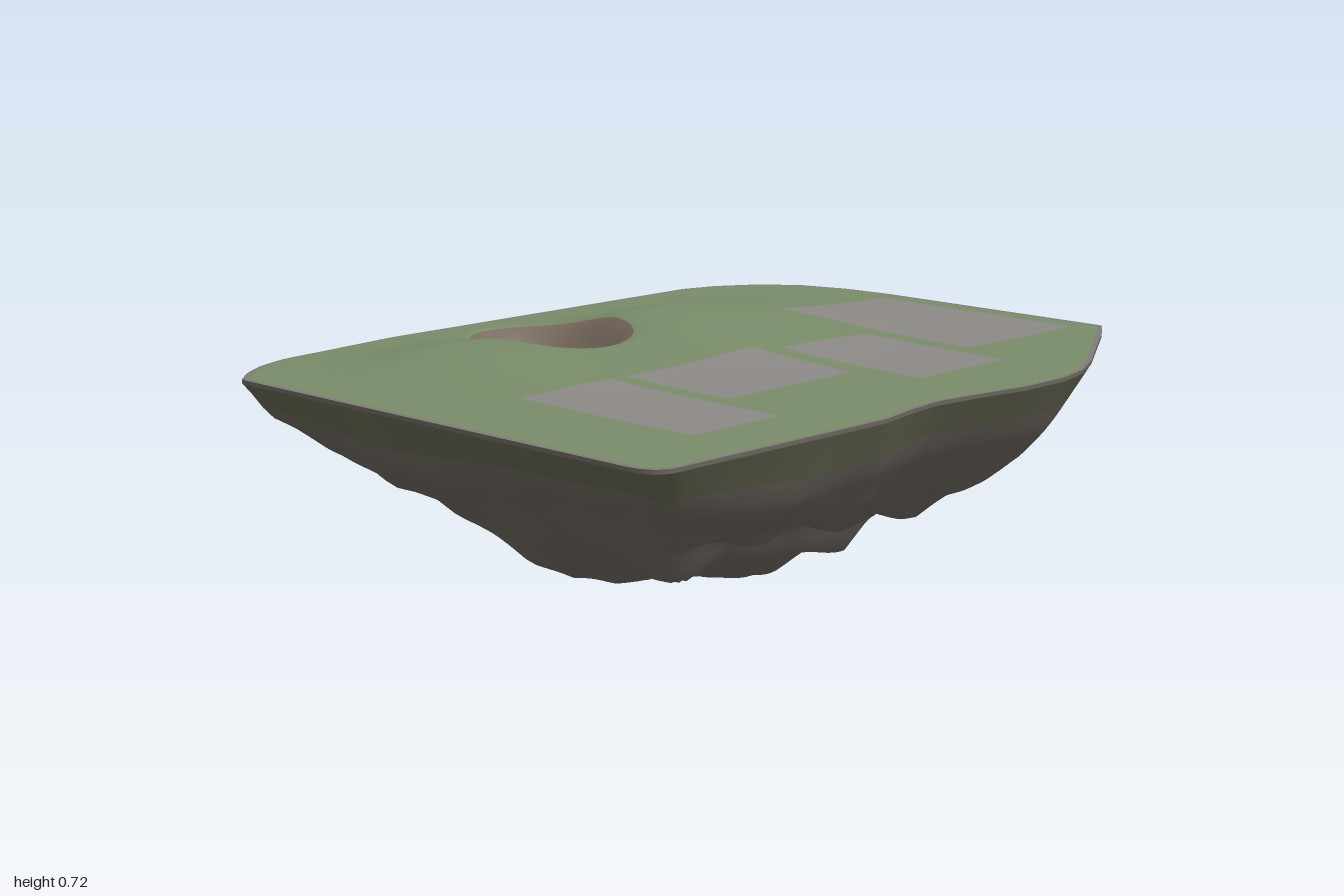
import * as THREE from 'three';

const RIM_Y = 0.655, LIP_Y = 0.645, N = 200;
const smooth = THREE.MathUtils.smoothstep;
const lerp = THREE.MathUtils.lerp;

// Plan outline as x, z pairs, running left edge -> back -> right edge -> front
const OUTLINE = [
  [-0.78, -0.66], [-0.75, -0.76], [-0.68, -0.87], [-0.58, -0.945], [-0.45, -0.985], [-0.3, -1],
  [0.43, -1], [0.5, -0.9], [0.6, -0.74], [0.7, -0.58], [0.755, -0.47], [0.78, -0.36],
  [0.78, -0.22], [0.755, -0.06], [0.74, 0.06], [0.755, 0.17], [0.78, 0.28],
  [0.78, 0.95], [0.765, 0.98], [0.72, 1], [-0.6, 1], [-0.66, 0.94], [-0.71, 0.86],
  [-0.74, 0.77], [-0.755, 0.62], [-0.78, 0.4],
];

// Underside height along x and along z, and depth limit by distance from the edge
const PROFILE_X = [[-0.78, 0.655], [-0.7, 0.52], [-0.55, 0.38], [-0.45, 0.26], [-0.36, 0.23], [-0.3, 0.08],
  [-0.2, 0], [-0.05, 0.04], [0.03, 0.1], [0.1, 0.15], [0.2, 0.15], [0.28, 0.28], [0.42, 0.29],
  [0.5, 0.35], [0.6, 0.37], [0.7, 0.46], [0.78, 0.655]];
const PROFILE_Z = [[-1, 0.655], [-0.9, 0.52], [-0.78, 0.42], [-0.6, 0.42], [-0.55, 0.37], [-0.5, 0.27],
  [-0.4, 0.24], [-0.35, 0.13], [-0.25, 0], [-0.08, 0.04], [0.05, 0.1], [0.13, 0.11], [0.2, 0.14],
  [0.3, 0.1], [0.45, 0.18], [0.6, 0.3], [0.7, 0.39], [0.8, 0.42], [0.9, 0.5], [1, 0.655]];
const EDGE_DEPTH = [[0, 0], [0.08, 0.13], [0.25, 0.3], [0.5, 0.66]];

function sample(table, v) {
  for (let i = 1; i < table.length; i++) {
    const [a, ya] = table[i - 1], [b, yb] = table[i];
    if (v <= b) return lerp(ya, yb, Math.max(0, (v - a) / (b - a)));
  }
  return table[table.length - 1][1];
}

const PIT = { x: -0.45, z: 0.15, rx: 0.24, rz: 0.175 };
const TIP = { x: -0.2, z: -0.25 };

const bell = (v, c, low, high) => Math.exp(-0.5 * ((v - c) / (v < c ? low : high)) ** 2);

// Two gentle mounds with a sunken pit between them
function groundHeight(x, z) {
  const hill = 0.06 * bell(x, -0.36, 0.13, 0.3) * bell(z, -0.14, 0.28, 0.22)
    + 0.043 * bell(x, -0.4, 0.13, 0.26) * bell(z, 0.5, 0.17, 0.16);
  const r = Math.hypot((x - PIT.x) / PIT.rx, (z - PIT.z) / PIT.rz);
  return RIM_Y + hill - 0.1 * (1 - smooth(r, 0.35, 1.1));
}

// Craggy underside, deepest at TIP
function rockHeight(x, z, dist) {
  const fx = 1 - sample(PROFILE_X, x) / RIM_Y;
  const fz = 1 - sample(PROFILE_Z, z) / RIM_Y;
  const depth = LIP_Y * (0.5 * fx * fz + 0.5 * Math.min(fx, fz));
  const d = Math.min(depth, sample(EDGE_DEPTH, dist));
  const angle = Math.atan2(z - TIP.z, x - TIP.x);
  const crag = 0.5 * Math.sin(11 * x + 5 * z + 2 * Math.sin(7 * z)) * Math.sin(13 * z - 4 * x)
    + 0.4 * Math.sin(13 * angle + 6 * x) + 0.3 * Math.sin(27 * x + 3) * Math.sin(24 * z);
  return Math.max(0, LIP_Y - d - 0.05 * crag * smooth(dist, 0.03, 0.3) * (1 - d / LIP_Y));
}

// Closed rings of points joined into one smooth skin
function skin(name, color, rows) {
  const positions = [], index = [];
  rows.forEach((row) => row.forEach((p) => positions.push(p.x, p.y, p.z)));
  for (let j = 0; j < rows.length - 1; j++) {
    for (let i = 0; i < N; i++) {
      const k = (i + 1) % N;
      const a = j * N + i, b = j * N + k, c = a + N, d = b + N;
      index.push(a, b, d, a, d, c);
    }
  }
  const geometry = new THREE.BufferGeometry();
  geometry.setAttribute('position', new THREE.Float32BufferAttribute(positions, 3));
  geometry.setIndex(index);
  geometry.computeVertexNormals();
  return part(name, color, geometry);
}

function part(name, color, geometry) {
  const mesh = new THREE.Mesh(geometry, new THREE.MeshStandardMaterial({ color }));
  mesh.name = name;
  return mesh;
}

const rowsFrom = (count, makeRow) => Array.from({ length: count + 1 }, (_, j) => makeRow(j / count));

export function createModel() {
  const island = new THREE.Group();
  island.name = 'floatingIsland';

  const path = new THREE.Path(OUTLINE.map(([x, z]) => new THREE.Vector2(x, z)));
  path.closePath();
  const rim = path.getSpacedPoints(N).slice(0, N);
  const ring = (y, inset = 0) => rim.map((p) => new THREE.Vector3(p.x * (1 - inset), y, p.y * (1 - inset)));

  // Pit edge, one point per rim point
  const pitEdge = rim.map((p) => {
    const a = Math.atan2((p.y - PIT.z) / PIT.rz, (p.x - PIT.x) / PIT.rx);
    return { x: PIT.x + PIT.rx * Math.cos(a), z: PIT.z + PIT.rz * Math.sin(a) };
  });
  const ground = (x, z) => new THREE.Vector3(x, groundHeight(x, z), z);

  island.add(skin('pit', 0x7a6c60, rowsFrom(12, (t) =>
    pitEdge.map((p) => ground(lerp(PIT.x, p.x, t), lerp(PIT.z, p.z, t))))));

  const grassEdge = ring(RIM_Y, 0.015);
  island.add(skin('grass', 0x788b68, rowsFrom(40, (t) =>
    pitEdge.map((p, i) => ground(lerp(p.x, grassEdge[i].x, t), lerp(p.z, grassEdge[i].z, t))))));

  // Stony border and its short outer lip
  const borderInner = grassEdge.map((p) => ground(p.x, p.z));
  island.add(skin('border', 0x807c76, [borderInner, ring(RIM_Y)]));
  island.add(skin('borderLip', 0x66645a, [ring(RIM_Y), ring(LIP_Y)]));

  // Underside: a mossy band below the lip, then bare rock down to the tip
  const underRow = (t) => rim.map((p) => {
    const x = lerp(p.x, TIP.x, t), z = lerp(p.y, TIP.z, t);
    const dist = t * Math.hypot(p.x - TIP.x, p.y - TIP.z);
    return new THREE.Vector3(x, rockHeight(x, z, dist), z);
  });
  island.add(skin('mossBand', 0x61634f, rowsFrom(3, (t) => underRow(t * 0.05))));
  island.add(skin('rock', 0x69645c, rowsFrom(40, (t) => underRow(lerp(0.05, 1, t)))));

  // Paved plots draped over the ground: x0, z0, x1, z1
  const plots = [
    [-0.26, -0.92, 0.39, -0.49], [0.11, -0.43, 0.55, -0.11],
    [0.06, -0.05, 0.39, 0.38], [0.06, 0.43, 0.6, 0.71],
  ];
  plots.forEach(([x0, z0, x1, z1], n) => {
    const geometry = new THREE.PlaneGeometry(x1 - x0, z1 - z0, 20, 20);
    geometry.rotateX(-Math.PI / 2).translate((x0 + x1) / 2, 0, (z0 + z1) / 2);
    const pos = geometry.attributes.position;
    for (let i = 0; i < pos.count; i++) pos.setY(i, groundHeight(pos.getX(i), pos.getZ(i)) + 0.003);
    geometry.computeVertexNormals();
    island.add(part('pavedPlot' + (n + 1), 0x8b8886, geometry));
  });

  return island;
}
